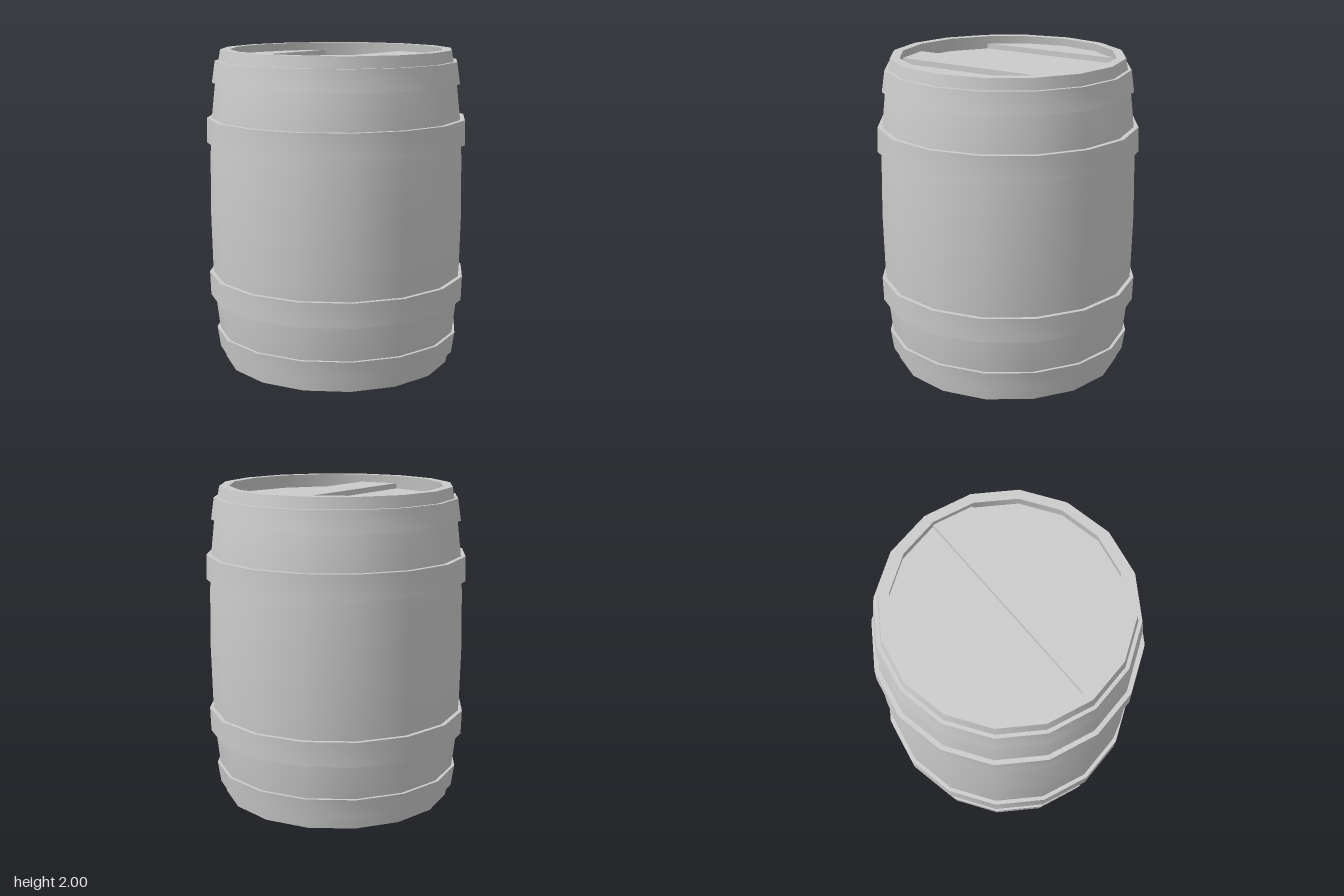
import * as THREE from 'three';
import { toCreasedNormals } from 'three/addons/utils/BufferGeometryUtils.js';

const SIDES = 16;
const material = new THREE.MeshStandardMaterial({ color: 0xcccccc });

function addMesh(parent, name, geometry) {
  const mesh = new THREE.Mesh(geometry, material);
  mesh.name = name;
  parent.add(mesh);
  return mesh;
}

// Closed ring turned from [radius, y] points, outer side listed upwards first
function ring(profile) {
  const points = [...profile, profile[0]].map(([r, y]) => new THREE.Vector2(r, y));
  return toCreasedNormals(new THREE.LatheGeometry(points, SIDES), 0.7);
}

// Half width of the 16-sided lid at depth z
function halfWidth(z, r) {
  const step = (Math.PI * 2) / SIDES;
  const a = Math.asin(THREE.MathUtils.clamp(z / r, -1, 1));
  const i = Math.min(Math.floor(a / step + 1e-6), SIDES / 4 - 1);
  const z0 = r * Math.sin(i * step), z1 = r * Math.sin((i + 1) * step);
  const x0 = r * Math.cos(i * step), x1 = r * Math.cos((i + 1) * step);
  return x0 + ((z - z0) / (z1 - z0)) * (x1 - x0);
}

// One lid board: a slice of the polygon between two depths, top face at y = 0
function plank(zFrom, zTo, r, thickness) {
  const depths = [zFrom];
  for (let i = -SIDES / 4 + 1; i < SIDES / 4; i++) {
    const z = r * Math.sin((i * Math.PI * 2) / SIDES);
    if (z > zFrom + 0.001 && z < zTo - 0.001) depths.push(z);
  }
  depths.push(zTo);
  const right = depths.map((z) => new THREE.Vector2(halfWidth(z, r), z));
  const left = right.filter((p) => p.x > 0.001).map((p) => new THREE.Vector2(-p.x, p.y)).reverse();
  const geometry = new THREE.ExtrudeGeometry(new THREE.Shape([...right, ...left]), {
    depth: thickness, bevelEnabled: false,
  });
  return geometry.rotateX(Math.PI / 2);
}

// Four boards at alternating heights
function makeLid(name, highTop, lowTop, thickness) {
  const lid = new THREE.Group();
  lid.name = name;
  const r = 0.7;
  const edges = [-r, -0.48, 0, 0.25, r];
  for (let i = 0; i < 4; i++) {
    const board = addMesh(lid, 'lidPlank' + (i + 1), plank(edges[i], edges[i + 1], r, thickness));
    board.position.y = i % 2 ? lowTop : highTop;
  }
  return lid;
}

export function createModel() {
  const barrel = new THREE.Group();
  barrel.name = 'barrel';

  // Bulging wall with thickness
  const outer = [
    [0.73, 0], [0.765, 0.2], [0.79, 0.42], [0.803, 0.65], [0.81, 1],
    [0.803, 1.35], [0.79, 1.58], [0.765, 1.8], [0.73, 2],
  ];
  const inner = outer.map(([r, y]) => [r - 0.06, y]).reverse();
  addMesh(barrel, 'barrelWall', ring([...outer, ...inner]));

  // Hoops, mirrored about the middle: [yLow, rLow, yHigh, rHigh]
  const hoops = [[0.07, 0.765, 0.205, 0.785], [0.425, 0.82, 0.58, 0.825]];
  for (const [y0, r0, y1, r1] of hoops) {
    const t = 0.05;
    addMesh(barrel, 'lowerHoop', ring([[r0, y0], [r1, y1], [r1 - t, y1], [r0 - t, y0]]));
    addMesh(barrel, 'upperHoop', ring([[r1, 2 - y1], [r0, 2 - y0], [r0 - t, 2 - y0], [r1 - t, 2 - y1]]));
  }

  // Recessed lids; the bottom one is turned half round
  barrel.add(makeLid('topLid', 1.95, 1.915, 0.06));
  const bottom = makeLid('bottomLid', 0.145, 0.11, 0.06);
  bottom.rotation.y = Math.PI;
  barrel.add(bottom);

  return barrel;
}
